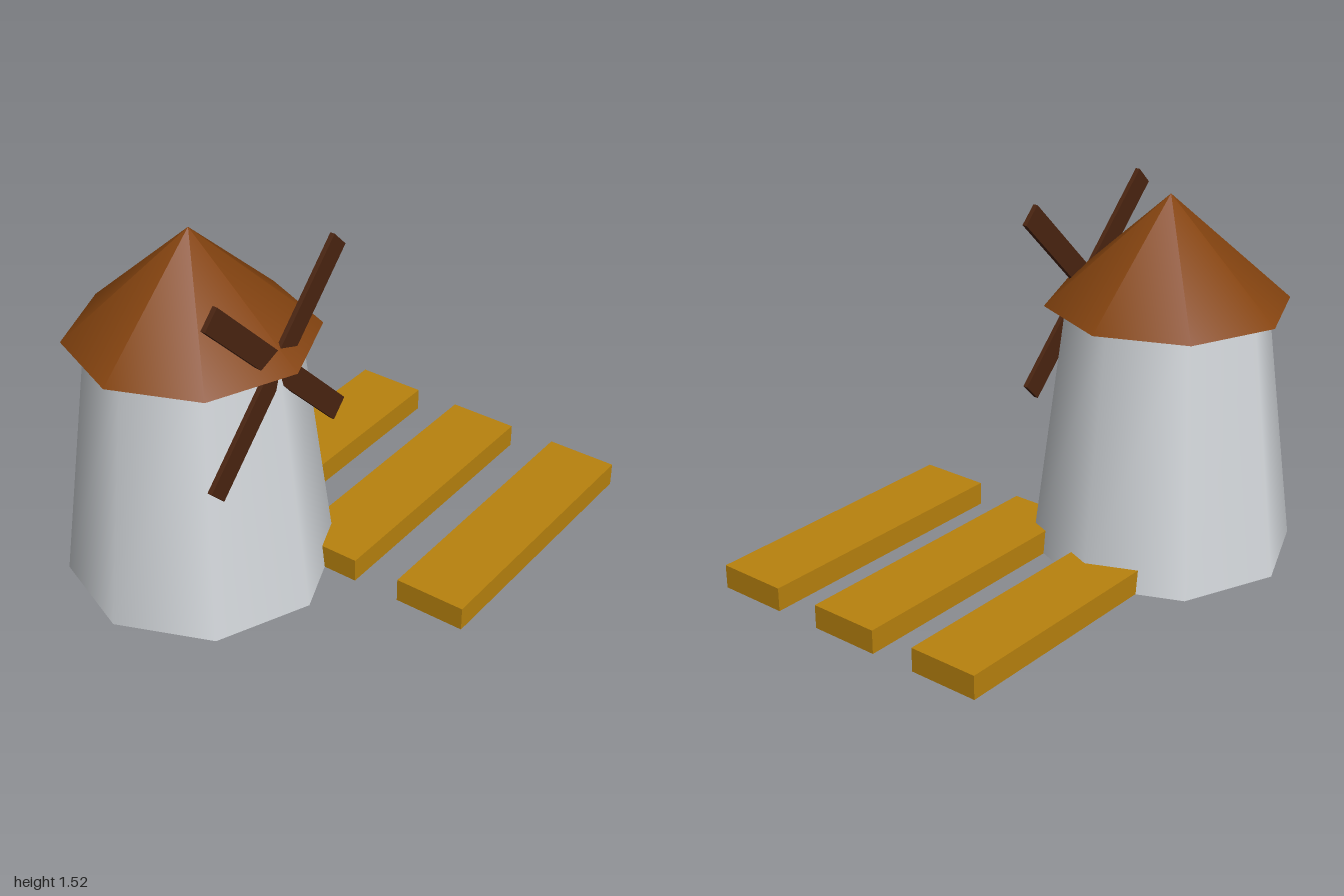
import * as THREE from 'three';

const material = (name, color) => {
  const m = new THREE.MeshStandardMaterial({ color });
  m.name = name;
  return m;
};

export function createModel() {
  const stone = material('pale grey stone', 0xd5d9dd);
  const thatch = material('brown roof', 0x84430f);
  const darkWood = material('dark wood', 0x4a2410);
  const strawField = material('golden field', 0xb8820e);

  const model = new THREE.Group();
  model.name = 'windmillWithFields';

  const add = (name, geometry, mat, x, y, z, parent = model) => {
    const mesh = new THREE.Mesh(geometry, mat);
    mesh.name = name;
    mesh.position.set(x, y, z);
    parent.add(mesh);
    return mesh;
  };

  // Windmill body: tapered eight-sided tower with an overhanging cone roof
  const mill = new THREE.Group();
  mill.name = 'windmill';
  mill.position.set(-0.45, 0, -0.28);
  model.add(mill);
  add('tower', new THREE.CylinderGeometry(0.415, 0.55, 1.07, 8), stone, 0, 0.536, 0, mill);
  add('roof', new THREE.ConeGeometry(0.503, 0.45, 8), thatch, 0, 1.295, 0, mill);

  // Sails: two crossed boards through the front of the tower
  const sails = new THREE.Group();
  sails.name = 'sails';
  sails.position.set(0, 1.066, 0.408);
  mill.add(sails);
  for (const side of [-1, 1]) {
    const board = add('sailBoard', new THREE.BoxGeometry(1.066, 0.098, 0.02), darkWood, 0, 0, 0, sails);
    board.rotation.z = side * Math.PI / 4;
  }

  // Field strips: three flat slabs, the back one running into the tower
  [-0.332, 0.173, 0.682].forEach((z, i) => {
    const lift = i === 0 ? 0.002 : 0;
    add('fieldStrip', new THREE.BoxGeometry(1.215, 0.101, 0.304), strawField, 0.3925, 0.0505 + lift, z);
  });

  return model;
}
